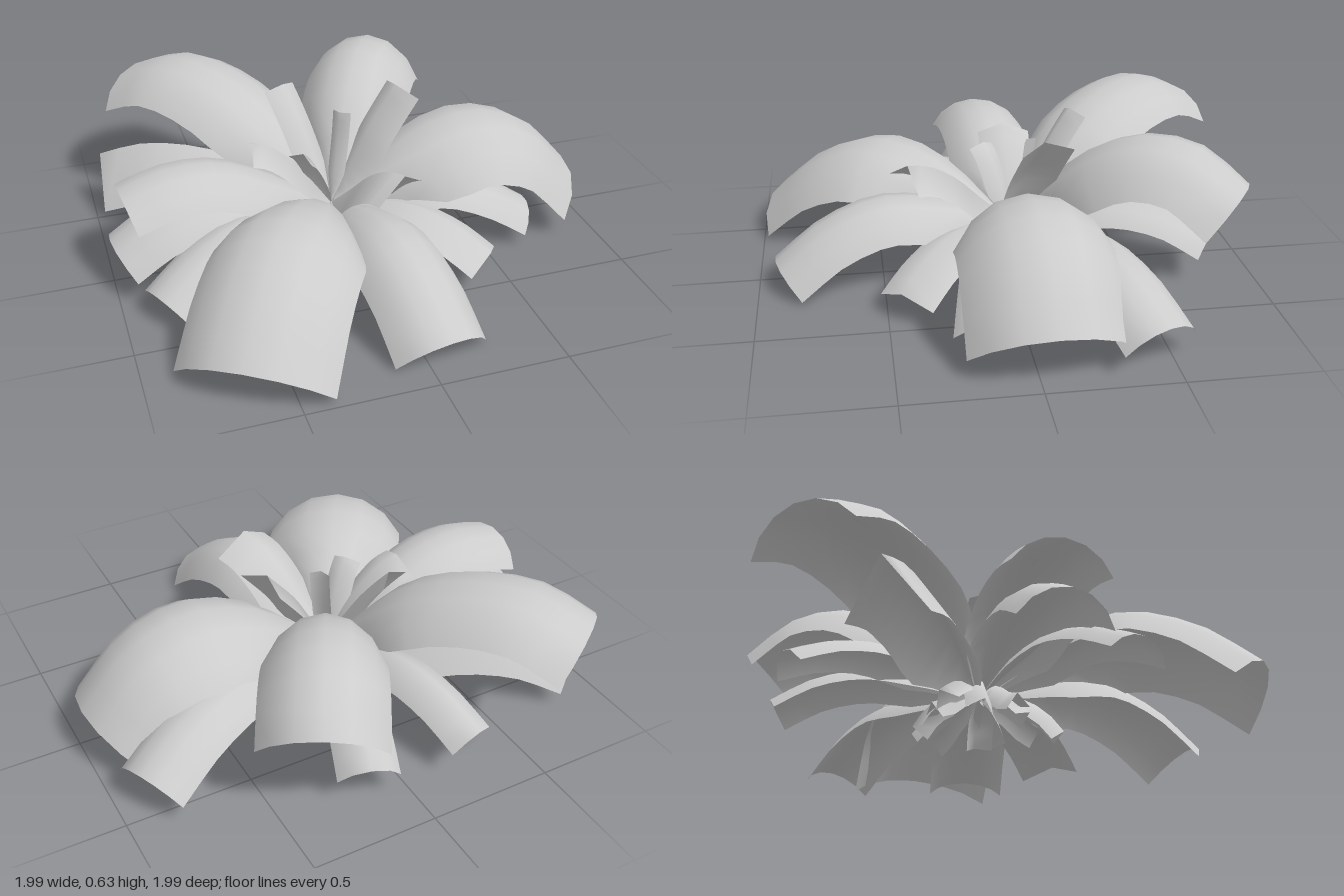
import * as THREE from 'three';

const CENTER = new THREE.Vector3(-0.08, 0.18, -0.04);
const STATIONS = [0.3, 0.55, 0.8, 1]; // where the ridge heights are given

// Arched leaf: a ridge curve swept with a circular-ish cross-section that droops at the edges
function leafGeometry({ tip, ridge, half, drop, roll = 0, across = 6, along = 10, full = 0.34 }) {
  const dx = tip[0] - CENTER.x, dz = tip[1] - CENTER.z;
  const at = (t, y) => new THREE.Vector3(CENTER.x + dx * t, y, CENTER.z + dz * t);
  const curve = new THREE.CatmullRomCurve3([
    at(0.02, CENTER.y), ...STATIONS.map((t, i) => at(t, ridge[i]))]);
  const flatSide = new THREE.Vector3(-dz, 0, dx).normalize();
  const pos = [], index = [], n = across + 1;
  for (let i = 0; i <= along; i++) {
    const t = i / along;
    const p = curve.getPointAt(t), tan = curve.getTangentAt(t);
    const side = flatSide.clone().applyAxisAngle(tan, roll);
    const normal = side.clone().cross(tan).normalize();
    // narrow at the root, nearly parallel edges after that
    const w = Math.pow(Math.min(1, t / full + 0.04), 0.85) * (0.96 + 0.04 * t);
    const sag = drop * w * (1.2 - 0.2 * t);
    for (let j = 0; j <= across; j++) {
      const u = (j / across) * 2 - 1;
      const v = p.clone()
        .addScaledVector(side, half * w * Math.sin(u * 1.1) / Math.sin(1.1))
        .addScaledVector(normal, -sag * (1 - Math.cos(u * 1.1)) / (1 - Math.cos(1.1)));
      pos.push(v.x, v.y, v.z);
    }
  }
  for (let i = 0; i < along; i++) {
    for (let j = 0; j < across; j++) {
      const a = i * n + j;
      index.push(a, a + 1, a + n, a + 1, a + n + 1, a + n);
    }
  }
  const g = new THREE.BufferGeometry();
  g.setAttribute('position', new THREE.Float32BufferAttribute(pos, 3));
  g.setIndex(index);
  g.computeVertexNormals();
  return g;
}

export function createModel() {
  const model = new THREE.Group();
  model.name = 'leafyPlant';
  const leafGrey = new THREE.MeshStandardMaterial({ color: 0xcccccc, side: THREE.DoubleSide });
  leafGrey.name = 'leafGrey';

  const addLeaves = (groupName, leafName, specs) => {
    const group = new THREE.Group();
    group.name = groupName;
    specs.forEach((s, i) => {
      const mesh = new THREE.Mesh(leafGeometry(s), leafGrey);
      mesh.name = leafName + (i + 1);
      group.add(mesh);
    });
    model.add(group);
  };

  // Broad leaves
  addLeaves('broadLeaves', 'broadLeaf', [
    { tip: [0.99, -0.055], ridge: [0.42, 0.5, 0.42, 0.2], half: 0.305, drop: 0.185 },
    { tip: [-0.69, 0.91], ridge: [0.38, 0.44, 0.34, 0.155], half: 0.3, drop: 0.17, full: 0.45 },
    { tip: [-0.73, -0.89], ridge: [0.5, 0.61, 0.62, 0.53], half: 0.25, drop: 0.13 },
    { tip: [0.41, -0.89], ridge: [0.5, 0.62, 0.6, 0.46], half: 0.24, drop: 0.175 },
  ]);

  // Lower, narrower leaves
  addLeaves('middleLeaves', 'middleLeaf', [
    { tip: [-0.95, 0.02], ridge: [0.36, 0.46, 0.47, 0.42], half: 0.19, drop: 0.11 },
    { tip: [-1, 0.02], ridge: [0.3, 0.35, 0.31, 0.2], half: 0.18, drop: 0.12 },
    { tip: [0.07, 0.93], ridge: [0.3, 0.34, 0.26, 0.115], half: 0.19, drop: 0.125 },
    { tip: [0.915, -0.46], ridge: [0.28, 0.33, 0.28, 0.17], half: 0.16, drop: 0.1 },
    { tip: [-0.88, 0.33], ridge: [0.25, 0.28, 0.22, 0.12], half: 0.14, drop: 0.08 },
    { tip: [0.74, 0.13], ridge: [0.26, 0.29, 0.22, 0.12], half: 0.16, drop: 0.08 },
    { tip: [0.43, 0.45], ridge: [0.24, 0.25, 0.2, 0.12], half: 0.13, drop: 0.06, across: 2 },
    { tip: [-0.29, -0.85], ridge: [0.27, 0.3, 0.26, 0.18], half: 0.11, drop: 0.08, across: 4 },
    { tip: [0.17, -0.83], ridge: [0.27, 0.3, 0.26, 0.17], half: 0.12, drop: 0.08, across: 4 },
    { tip: [-0.95, -0.62], ridge: [0.3, 0.35, 0.33, 0.25], half: 0.15, drop: 0.21, across: 2 },
  ]);

  // Young leaves rising from the heart
  addLeaves('youngLeaves', 'youngLeaf', [
    { tip: [0.08, 0.39], ridge: [0.3, 0.41, 0.48, 0.5], half: 0.14, drop: 0.08, across: 2 },
    { tip: [0.23, -0.13], ridge: [0.32, 0.45, 0.55, 0.625], half: 0.11, drop: 0.05, across: 2 },
    { tip: [-0.4, -0.06], ridge: [0.32, 0.41, 0.47, 0.49], half: 0.11, drop: 0.05, across: 2 },
    { tip: [-0.2, -0.31], ridge: [0.32, 0.44, 0.54, 0.61], half: 0.075, drop: 0.04, across: 2 },
    { tip: [-0.22, 0.05], ridge: [0.3, 0.38, 0.44, 0.47], half: 0.06, drop: 0.03, across: 2 },
    { tip: [-0.02, -0.1], ridge: [0.28, 0.36, 0.45, 0.55], half: 0.04, drop: 0.02, across: 2 },
  ]);

  // Short withered leaves hanging under the heart
  const sprigs = [];
  for (let i = 0; i < 12; i++) {
    const a = (i / 12) * Math.PI * 2 + 0.2;
    const r = 0.22 + 0.12 * ((i * 5) % 4) / 3;
    const end = 0.05 + 0.06 * ((i * 7) % 3) / 2;
    sprigs.push({
      tip: [CENTER.x + r * Math.cos(a), CENTER.z + r * Math.sin(a)],
      ridge: [0.2, 0.18, 0.13, end], half: 0.055, drop: 0.06,
      roll: i % 2 ? 0.3 : -0.3, across: 2, along: 5,
    });
  }
  addLeaves('lowerSprigs', 'lowerSprig', sprigs);

  return model;
}
